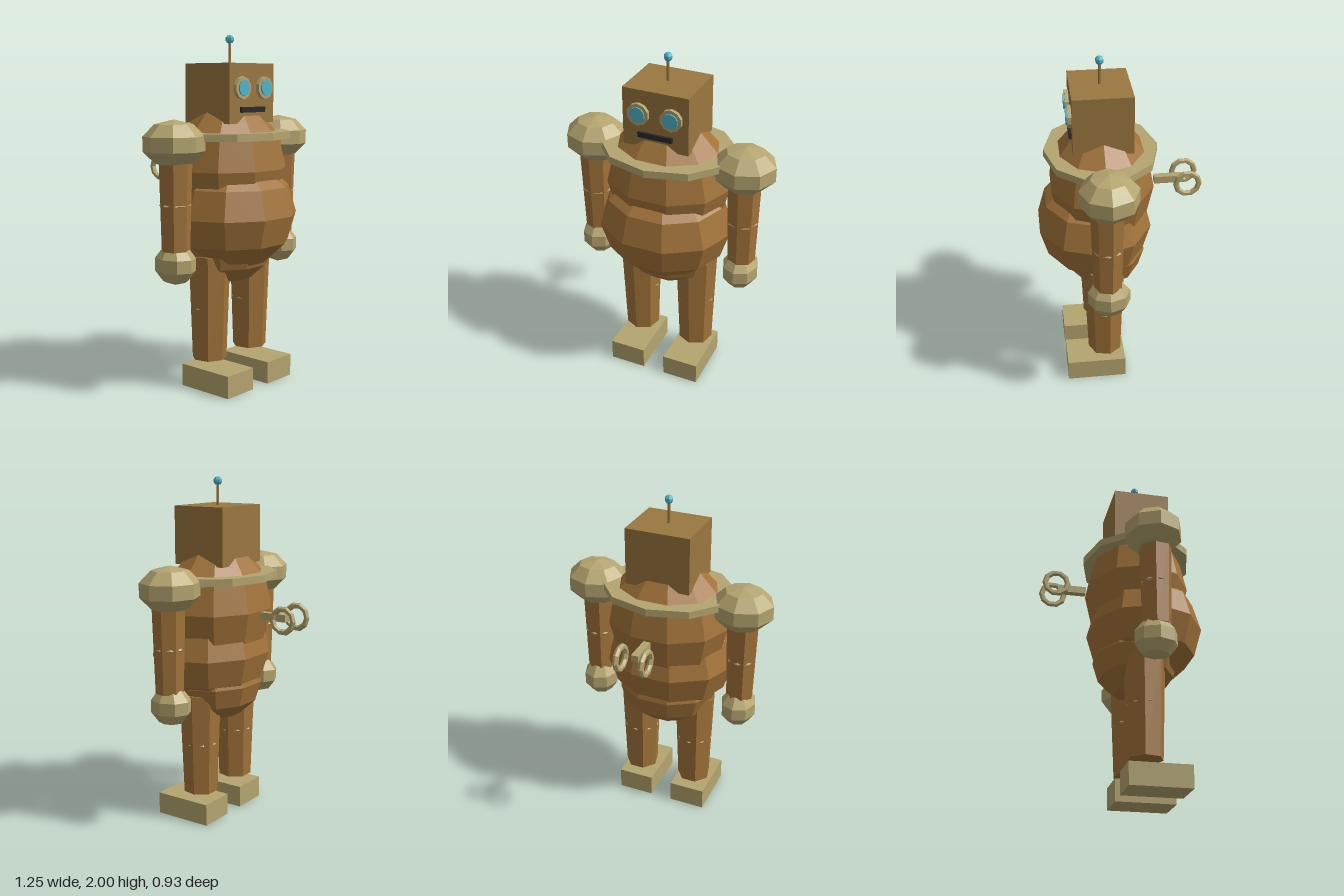
import * as THREE from 'three';

const mat = (name, color) => {
  const m = new THREE.MeshStandardMaterial({ color, flatShading: true });
  m.name = name;
  return m;
};

export function createModel() {
  const bronze = mat('bronze', 0xa2733a);
  const headBronze = mat('head bronze', 0x9a7740);
  const brass = mat('pale brass', 0xb5a570);
  const glass = mat('blue glass', 0x4fb6cc);
  const dark = mat('dark slot', 0x2b292c);

  const model = new THREE.Group();
  model.name = 'windUpRobot';
  const Z = 0.105; // depth of the body axis

  const add = (name, geometry, material, x, y, z, parent = model) => {
    const mesh = new THREE.Mesh(geometry, material);
    mesh.name = name;
    mesh.position.set(x, y, z);
    parent.add(mesh);
    return mesh;
  };
  const ball = (rx, ry, rz, sides, rows) => new THREE.SphereGeometry(1, sides, rows).scale(rx, ry, rz);
  const rod = (top, bottom, height, sides) => new THREE.CylinderGeometry(top, bottom, height, sides);

  // Torso: three overlapping faceted bulges and a flat collar
  add('chest', ball(0.365, 0.38, 0.302, 10, 6), bronze, 0, 1.25, Z);
  add('belly', ball(0.39, 0.32, 0.335, 10, 6), bronze, 0, 0.99, 0.15);
  add('pelvis', ball(0.3, 0.23, 0.247, 10, 6), bronze, 0, 0.81, 0.1);
  add('collar', rod(1, 1, 0.042, 10).scale(0.39, 1, 0.32), brass, 0, 1.44, Z);

  // Head with mouth and antenna
  add('head', new THREE.BoxGeometry(0.38, 0.33, 0.33), headBronze, 0, 1.675, Z);
  add('mouth', new THREE.BoxGeometry(0.2, 0.03, 0.015), dark, 0, 1.585, 0.277);
  add('antennaRod', rod(0.008, 0.008, 0.13, 6), headBronze, 0, 1.9, Z);
  add('antennaTip', ball(0.025, 0.025, 0.025, 6, 5), glass, 0, 1.975, Z);

  // Paired parts
  for (const [side, s] of [['left', 1], ['right', -1]]) {
    const eye = new THREE.Group();
    eye.name = side + 'Eye';
    model.add(eye);
    add('eyeRim', rod(0.063, 0.063, 0.022, 10).rotateX(Math.PI / 2), brass, s * 0.095, 1.705, 0.28, eye);
    add('eyeLens', rod(0.044, 0.044, 0.008, 10).rotateX(Math.PI / 2), glass, s * 0.095, 1.705, 0.295, eye);

    const arm = new THREE.Group();
    arm.name = side + 'Arm';
    model.add(arm);
    add('shoulder', ball(0.184, 0.13, 0.171, 8, 5), brass, s * 0.45, 1.41, Z, arm);
    add('armTube', rod(0.094, 0.08, 0.5, 7), bronze, s * 0.453, 1.08, 0.115, arm);
    add('elbow', ball(0.087, 0.05, 0.087, 8, 4), brass, s * 0.453, 1.08, 0.115, arm);
    add('hand', ball(0.108, 0.115, 0.125, 8, 5), brass, s * 0.45, 0.755, 0.11, arm);

    const leg = new THREE.Group();
    leg.name = side + 'Leg';
    model.add(leg);
    add('legTube', rod(0.122, 0.1, 0.6, 7), bronze, s * 0.178, 0.47, 0.11, leg);
    add('knee', ball(0.107, 0.055, 0.107, 8, 4), brass, s * 0.178, 0.47, 0.11, leg);
    add('foot', new THREE.BoxGeometry(0.216, 0.128, 0.35), brass, s * 0.174, 0.064, 0.17, leg);

    // Winding key loop on the back
    add(side + 'KeyLoop', new THREE.TorusGeometry(0.066, 0.017, 6, 10).rotateY(Math.PI / 2),
      brass, s * 0.075, 1.23, -0.383);
  }
  add('keyShaft', new THREE.BoxGeometry(0.042, 0.042, 0.165), brass, 0, 1.23, -0.283);

  return model;
}
